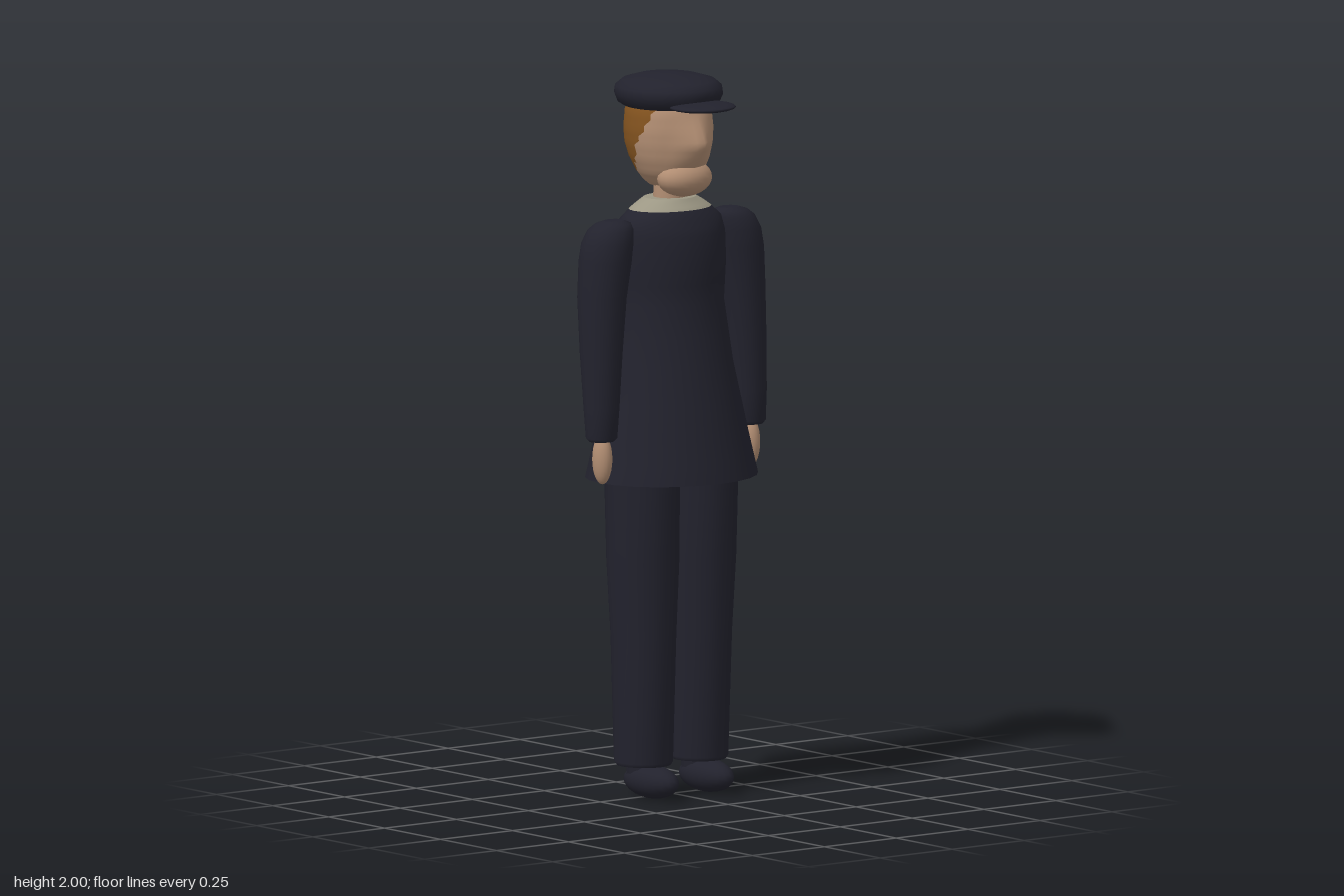
import * as THREE from 'three';

const navy = new THREE.MeshStandardMaterial({ name: 'navy cloth', color: 0x22222d });
const skin = new THREE.MeshStandardMaterial({ name: 'skin', color: 0xb28e73 });
const hair = new THREE.MeshStandardMaterial({ name: 'brown hair', color: 0x83531f });
const linen = new THREE.MeshStandardMaterial({ name: 'pale collar', color: 0x9c9784 });

// Closed skin over elliptical rings [y, centreX, centreZ, radiusX, radiusZ], bottom to top.
// options: split = subdivisions per band, deform(v) moves a vertex, second(c) picks material 1.
function loft(keys, sides, { split = 1, deform, second } = {}) {
  const rings = [];
  keys.forEach((k, i) => {
    if (i === keys.length - 1) return rings.push(k);
    for (let s = 0; s < split; s++) {
      rings.push(k.map((v, n) => THREE.MathUtils.lerp(v, keys[i + 1][n], s / split)));
    }
  });
  const points = [], faces = [[], []];
  const addRing = ([y, cx, cz, rx, rz]) => {
    for (let j = 0; j < sides; j++) {
      const a = (j / sides) * Math.PI * 2;
      const v = new THREE.Vector3(cx + rx * Math.sin(a), y, cz + rz * Math.cos(a));
      if (deform) deform(v);
      points.push(v);
    }
  };
  const addFace = (a, b, c) => {
    const mid = points[a].clone().add(points[b]).add(points[c]).divideScalar(3);
    faces[second && second(mid) ? 1 : 0].push(a, b, c);
  };
  rings.forEach(addRing);
  for (let i = 0; i < rings.length - 1; i++) {
    for (let j = 0; j < sides; j++) {
      const a = i * sides + j, b = i * sides + (j + 1) % sides;
      addFace(a, b, b + sides);
      addFace(a, b + sides, a + sides);
    }
  }
  // End caps with their own vertices, so the rims stay crisp
  [rings[0], rings[rings.length - 1]].forEach((ring, top) => {
    const start = points.length;
    addRing(ring);
    const centre = points.push(new THREE.Vector3(ring[1], ring[0], ring[2])) - 1;
    for (let j = 0; j < sides; j++) {
      const a = start + j, b = start + (j + 1) % sides;
      if (top) addFace(centre, a, b);
      else addFace(centre, b, a);
    }
  });
  const geo = new THREE.BufferGeometry().setFromPoints(points);
  geo.setIndex([...faces[0], ...faces[1]]);
  geo.addGroup(0, faces[0].length, 0);
  geo.addGroup(faces[0].length, faces[1].length, 1);
  geo.computeVertexNormals();
  return geo;
}

export function createModel() {
  const model = new THREE.Group();
  model.name = 'officer';
  const add = (name, geo, mat) => {
    const mesh = new THREE.Mesh(geo, mat);
    mesh.name = name;
    model.add(mesh);
    return mesh;
  };
  const ellipsoid = (name, mat, x, y, z, rx, ry, rz) => {
    const mesh = add(name, new THREE.SphereGeometry(1, 20, 14), mat);
    mesh.position.set(x, y, z);
    mesh.scale.set(rx, ry, rz);
    return mesh;
  };

  // Flared coat with the pale collar on its top edge
  add('coat', loft([
    [0.885, 0, -0.003, 0.25, 0.217],
    [1.0, 0, -0.003, 0.222, 0.194],
    [1.2, 0, -0.003, 0.178, 0.153],
    [1.37, 0, -0.005, 0.156, 0.126],
    [1.48, 0, -0.006, 0.164, 0.129],
    [1.56, 0, -0.008, 0.165, 0.122],
    [1.6, 0, -0.01, 0.157, 0.108],
    [1.628, 0, -0.01, 0.125, 0.092],
    [1.645, 0, -0.01, 0.1, 0.076],
    [1.658, 0, -0.01, 0.076, 0.066],
  ], 24, { split: 2, second: (c) => c.y > 1.628 }), [navy, linen]);

  // Neck, head with hair at the back, and jaw
  add('neck', loft([[1.6, 0, -0.01, 0.048, 0.046], [1.74, 0, -0.01, 0.045, 0.045]], 16), skin);
  add('head', loft([
    [1.69, 0, -0.025, 0.045, 0.055],
    [1.705, 0, -0.015, 0.068, 0.075],
    [1.73, 0, -0.01, 0.09, 0.097],
    [1.77, 0, -0.013, 0.109, 0.115],
    [1.81, 0, -0.016, 0.119, 0.125],
    [1.85, 0, -0.017, 0.122, 0.127],
    [1.9, 0, -0.018, 0.117, 0.123],
    [1.94, 0, -0.018, 0.1, 0.105],
    [1.97, 0, -0.018, 0.07, 0.075],
  ], 40, {
    split: 3,
    // Nose and brow pushed forward along the middle of the face
    deform: (v) => {
      if (v.z < 0.03) return;
      const rise = Math.max(0, 1 - Math.abs(v.y - 1.815) / 0.085);
      v.z += 0.042 * rise * Math.max(0, 1 - Math.abs(v.x) / 0.075);
    },
    second: (c) => c.z < 0.05 - (1.91 - c.y) * 0.57,
  }), [skin, hair]);
  ellipsoid('jaw', skin, 0, 1.717, 0.055, 0.083, 0.052, 0.063);

  // Cap: flat underside, rounded crown, and a thin visor
  add('cap', loft([
    [1.912, 0, -0.017, 0.122, 0.132],
    [1.922, 0, -0.017, 0.137, 0.147],
    [1.945, 0, -0.016, 0.147, 0.156],
    [1.965, 0, -0.016, 0.144, 0.153],
    [1.982, 0, -0.016, 0.125, 0.133],
    [1.994, 0, -0.016, 0.085, 0.09],
    [2.0, 0, -0.016, 0.025, 0.025],
  ], 24), navy);
  ellipsoid('visor', navy, 0, 1.923, 0.135, 0.095, 0.013, 0.088);

  for (const s of [1, -1]) {
    const side = s > 0 ? 'left' : 'right';

    // Sleeve tapering to the cuff
    add(side + 'Sleeve', loft([
      [1.005, s * 0.258, 0.016, 0.036, 0.034],
      [1.015, s * 0.258, 0.016, 0.045, 0.042],
      [1.1, s * 0.256, 0.013, 0.05, 0.05],
      [1.25, s * 0.25, 0.004, 0.059, 0.06],
      [1.4, s * 0.241, -0.004, 0.068, 0.069],
      [1.5, s * 0.23, -0.004, 0.074, 0.073],
      [1.55, s * 0.222, -0.004, 0.074, 0.07],
      [1.585, s * 0.211, -0.004, 0.066, 0.06],
      [1.602, s * 0.203, -0.004, 0.052, 0.045],
      [1.61, s * 0.2, -0.004, 0.03, 0.025],
    ], 16), navy);
    ellipsoid(side + 'Hand', skin, s * 0.257, 0.955, 0.018, 0.026, 0.07, 0.031);

    // Trouser leg and rounded shoe
    add(side + 'TrouserLeg', loft([
      [0.09, s * 0.096, -0.005, 0.074, 0.078],
      [0.1, s * 0.096, -0.005, 0.08, 0.084],
      [0.45, s * 0.097, -0.004, 0.088, 0.095],
      [0.66, s * 0.099, -0.004, 0.098, 0.105],
      [0.95, s * 0.102, -0.004, 0.102, 0.111],
    ], 16), navy);
    ellipsoid(side + 'Shoe', navy, s * 0.096, 0.047, 0.03, 0.05, 0.047, 0.106);
    add(side + 'Ankle', loft([[0.05, s * 0.096, -0.01, 0.04, 0.05], [0.12, s * 0.096, -0.01, 0.045, 0.055]], 12), navy);
  }
  return model;
}
